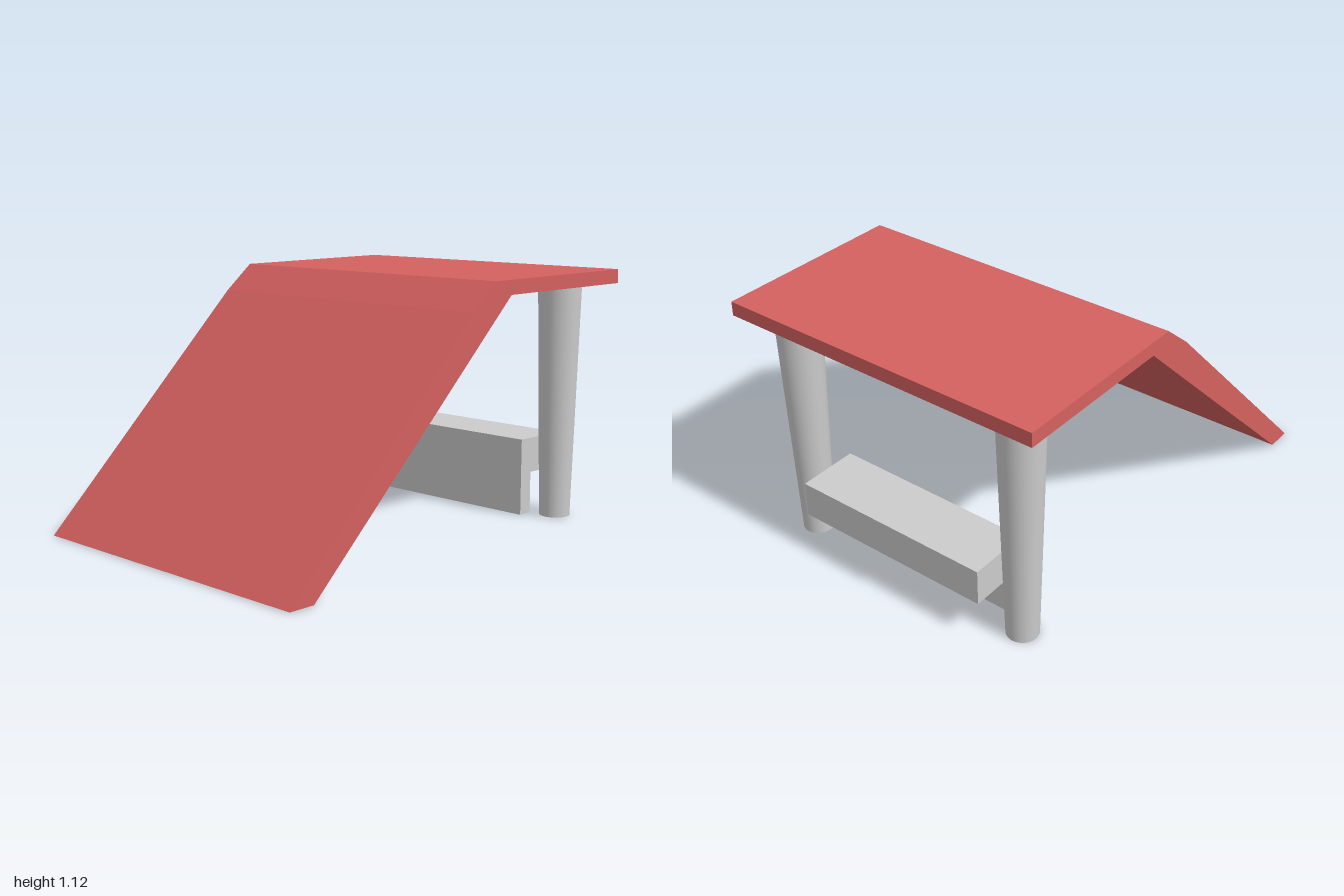
import * as THREE from 'three';

export function createModel() {
  const model = new THREE.Group();
  const red = new THREE.MeshStandardMaterial({ color: 0xd4615f });
  const grey = new THREE.MeshStandardMaterial({ color: 0xcccccc });

  const add = (name, geometry, material, x, y, z) => {
    const mesh = new THREE.Mesh(geometry, material);
    mesh.name = name;
    mesh.position.set(x, y, z);
    model.add(mesh);
    return mesh;
  };

  // Side profile extruded along z, centred on the given z
  const extrude = (name, points, width, material, z) => {
    const shape = new THREE.Shape(points.map(([x, y]) => new THREE.Vector2(x, y)));
    const geometry = new THREE.ExtrudeGeometry(shape, { depth: width, bevelEnabled: false });
    return add(name, geometry, material, 0, 0, z - width / 2);
  };

  // Sloping ramp and flat deck in one bent slab
  extrude('rampAndDeck', [
    [-1, 0.002], [-0.88, 0.002], [0.24, 1.055], [1, 1.06],
    [1, 1.122], [0.14, 1.116], [0, 1.0],
  ], 1.49, red, 0);

  // Bare underside where the ramp meets the ground
  const foot = add('rampFoot', new THREE.PlaneGeometry(0.12, 1.49), grey, -0.94, 0, 0);
  foot.rotation.x = Math.PI / 2;

  // Tapered legs under the deck
  for (const [name, z] of [['frontLeg', 0.55], ['backLeg', -0.573]]) {
    add(name, new THREE.CylinderGeometry(0.097, 0.069, 1.058, 32), grey, 0.838, 0.529, z);
  }

  // L-shaped step between the legs
  extrude('step', [
    [0.715, 0], [0.785, 0], [0.785, 0.19], [0.985, 0.19], [0.985, 0.35], [0.715, 0.35],
  ], 0.92, grey, -0.01);

  return model;
}
